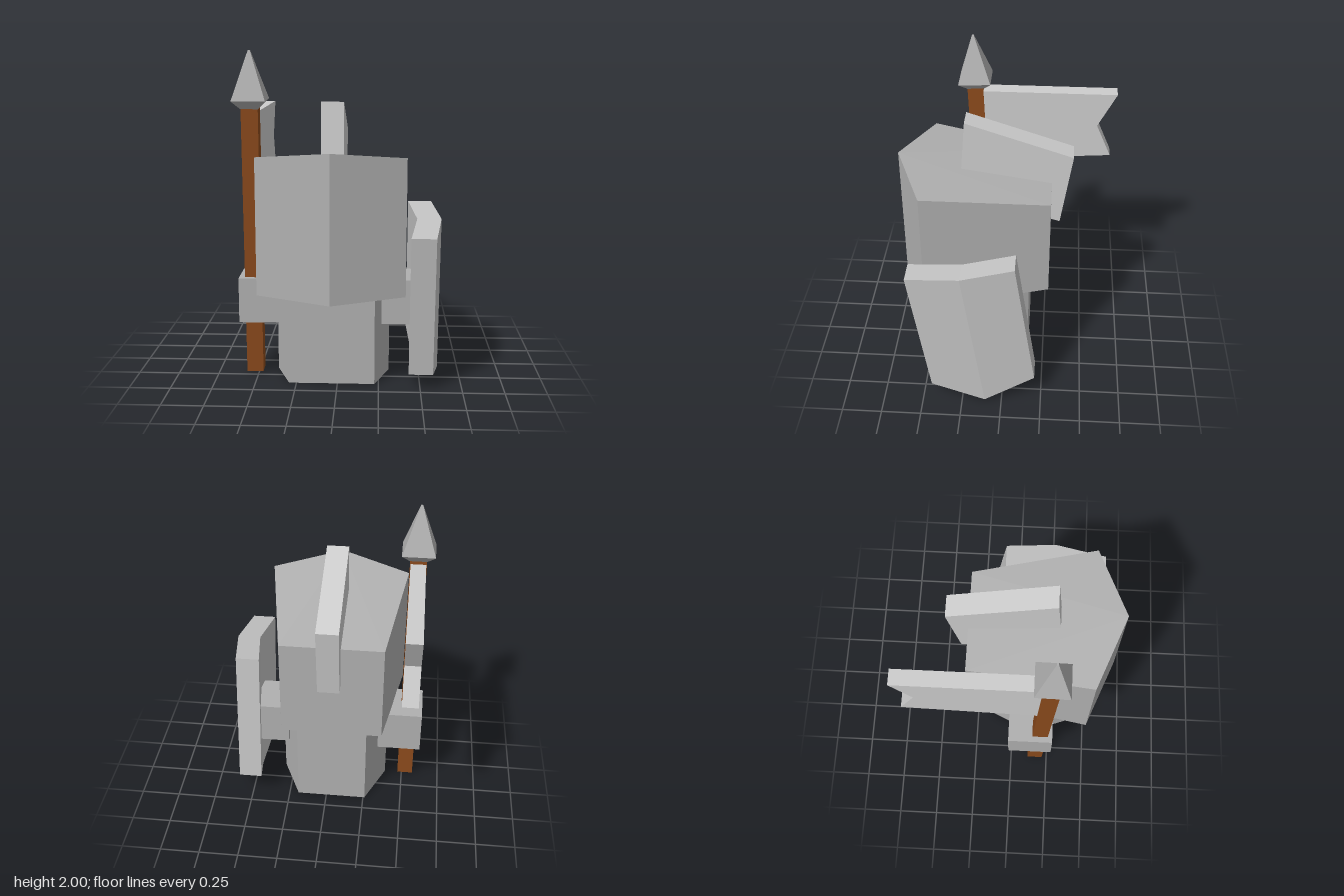
import * as THREE from 'three';

const flat = (name, color) => {
  const m = new THREE.MeshStandardMaterial({ color });
  m.name = name;
  return m;
};

// Solid between two matching loops; loop b lies on the outer (+) side, both run
// counter-clockwise seen from there. Caps are fans from the first point.
function loft(a, b) {
  const pos = [];
  const tri = (...pts) => pts.forEach((p) => pos.push(...p));
  const n = a.length;
  for (let i = 0; i < n; i++) {
    const j = (i + 1) % n;
    tri(a[i], a[j], b[j]);
    tri(a[i], b[j], b[i]);
  }
  for (let i = 1; i < n - 1; i++) {
    tri(b[0], b[i], b[i + 1]);
    tri(a[0], a[i + 1], a[i]);
  }
  const g = new THREE.BufferGeometry();
  g.setAttribute('position', new THREE.Float32BufferAttribute(pos, 3));
  g.computeVertexNormals();
  return g;
}

// Flat plate with a [z, y] outline, spanning x0 to x1
const plate = (outline, x0, x1) => loft(
  outline.map(([z, y]) => [x0, y, z]),
  outline.map(([z, y]) => [x1, y, z]),
);

const boxBetween = (x0, x1, y0, y1, z0, z1) =>
  new THREE.BoxGeometry(x1 - x0, y1 - y0, z1 - z0)
    .translate((x0 + x1) / 2, (y0 + y1) / 2, (z0 + z1) / 2);

export function createModel() {
  const group = new THREE.Group();
  const stone = flat('stone grey', 0xb0b0b0);
  const pale = flat('pale grey', 0xcdcdcd);
  const shieldGrey = flat('shield grey', 0xc2c2c2);
  const wood = flat('wood brown', 0x8b4a1c);

  const add = (name, geometry, material, parent = group) => {
    const mesh = new THREE.Mesh(geometry, material);
    mesh.name = name;
    parent.add(mesh);
    return mesh;
  };

  // Six-sided body
  const cx = -0.035;
  const bodyRing = [[-0.26, 0.38], [0.26, 0.38], [0.35, 0.13], [0.225, -0.15], [-0.225, -0.15], [-0.35, 0.13]];
  const bodyAt = (y) => bodyRing.map(([x, z]) => [cx + x, y, z]);
  add('body', loft(bodyAt(0), bodyAt(0.75)), stone);

  // Helmet with a pointed front: [x, z, bottom, top]
  const helmet = [
    [-0.03, 0.665, 0.575, 1.445],
    [0.405, 0.487, 0.583, 1.4],
    [0.27, -0.275, 0.66, 1.303],
    [-0.36, -0.275, 0.66, 1.303],
    [-0.47, 0.487, 0.583, 1.4],
  ];
  add('helmet', loft(
    helmet.map(([x, z, y]) => [x, y, z]),
    helmet.map(([x, z, , y]) => [x, y, z]),
  ), stone);

  // Crest on the helmet
  add('crest', plate([[0.25, 1.7], [0.29, 1.2], [-0.33, 1.02], [-0.4, 1.487]], -0.1, 0.035), pale);

  // Arms
  add('rightArm', boxBetween(-0.61, -0.33, 0.345, 0.625, -0.015, 0.27), stone);
  add('leftArm', boxBetween(0.265, 0.5, 0.345, 0.625, -0.015, 0.27), stone);

  // Shield bent along a ridge: [z, y, bulge]
  const shield = [
    [0.24, 1.0, 0.046], [0.57, 0.95, 0], [0.447, 0.09, 0],
    [0.105, 0.015, 0.046], [-0.207, 0.182, 0], [-0.08, 1.05, 0],
  ];
  const shieldAt = (x) => shield.map(([z, y, bulge]) => [x + bulge, y, z]);
  add('shield', loft(shieldAt(0.43), shieldAt(0.576)), shieldGrey);

  // Spear, leaning slightly forward
  const spear = new THREE.Group();
  spear.name = 'spear';
  spear.position.set(-0.523, 0.01, 0.167);
  spear.rotation.x = 0.038;
  group.add(spear);
  add('spearShaft', boxBetween(-0.051, 0.051, 0, 1.66, -0.05, 0.05), wood, spear);
  const foursided = (top, bottom, y0, y1) => {
    const g = new THREE.CylinderGeometry(top * Math.SQRT2, bottom * Math.SQRT2, y1 - y0, 4)
      .rotateY(Math.PI / 4).translate(0, (y0 + y1) / 2, 0).toNonIndexed();
    g.computeVertexNormals();
    return g;
  };
  add('spearCollar', foursided(0.101, 0.052, 1.65, 1.7), stone, spear);
  add('spearPoint', foursided(0.006, 0.101, 1.7, 1.99), stone, spear);

  // Swallow-tailed banner behind the shaft
  add('banner', plate(
    [[-0.55, 1.415], [-0.667, 1.64], [0.22, 1.64], [0.22, 1.135], [-0.645, 1.197]],
    -0.57, -0.476,
  ), pale);

  return group;
}
